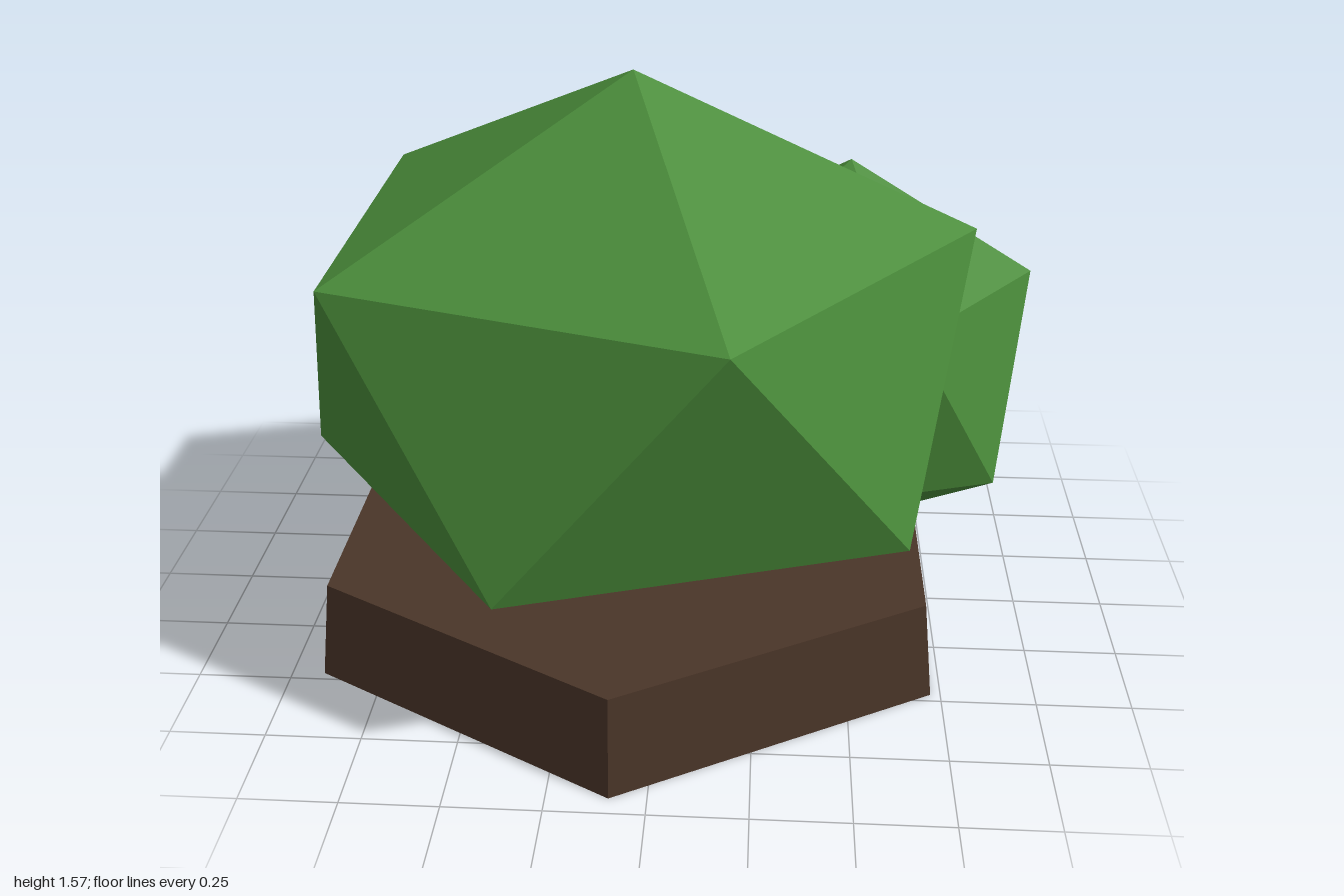
import * as THREE from 'three';

const leafGreen = new THREE.MeshStandardMaterial({ name: 'leafGreen', color: 0x4a8c3a, flatShading: true });
const soilBrown = new THREE.MeshStandardMaterial({ name: 'soilBrown', color: 0x4a3528, flatShading: true });

// Icosahedron standing on a corner, with one upper-ring corner pointing to +x
function foliage(name, radius, spread, x, y, z) {
  const geometry = new THREE.IcosahedronGeometry(radius, 0);
  geometry.rotateZ(-Math.atan(2 / (1 + Math.sqrt(5))));
  geometry.scale(spread, 1, spread);
  const mesh = new THREE.Mesh(geometry, leafGreen);
  mesh.name = name;
  mesh.position.set(x, y, z);
  return mesh;
}

export function createModel() {
  const group = new THREE.Group();
  group.name = 'bush';

  // Tapered six-sided base
  const base = new THREE.Mesh(new THREE.CylinderGeometry(0.915, 0.945, 0.27, 6), soilBrown);
  base.name = 'base';
  base.position.set(-0.095, 0.135, 0);
  group.add(base);

  // Wide main clump and a smaller one at the back left
  group.add(foliage('mainFoliage', 0.75, 1.35, -0.095, 0.815, 0));
  group.add(foliage('sideFoliage', 0.576, 1, 0.485, 0.682, -0.24));

  return group;
}
